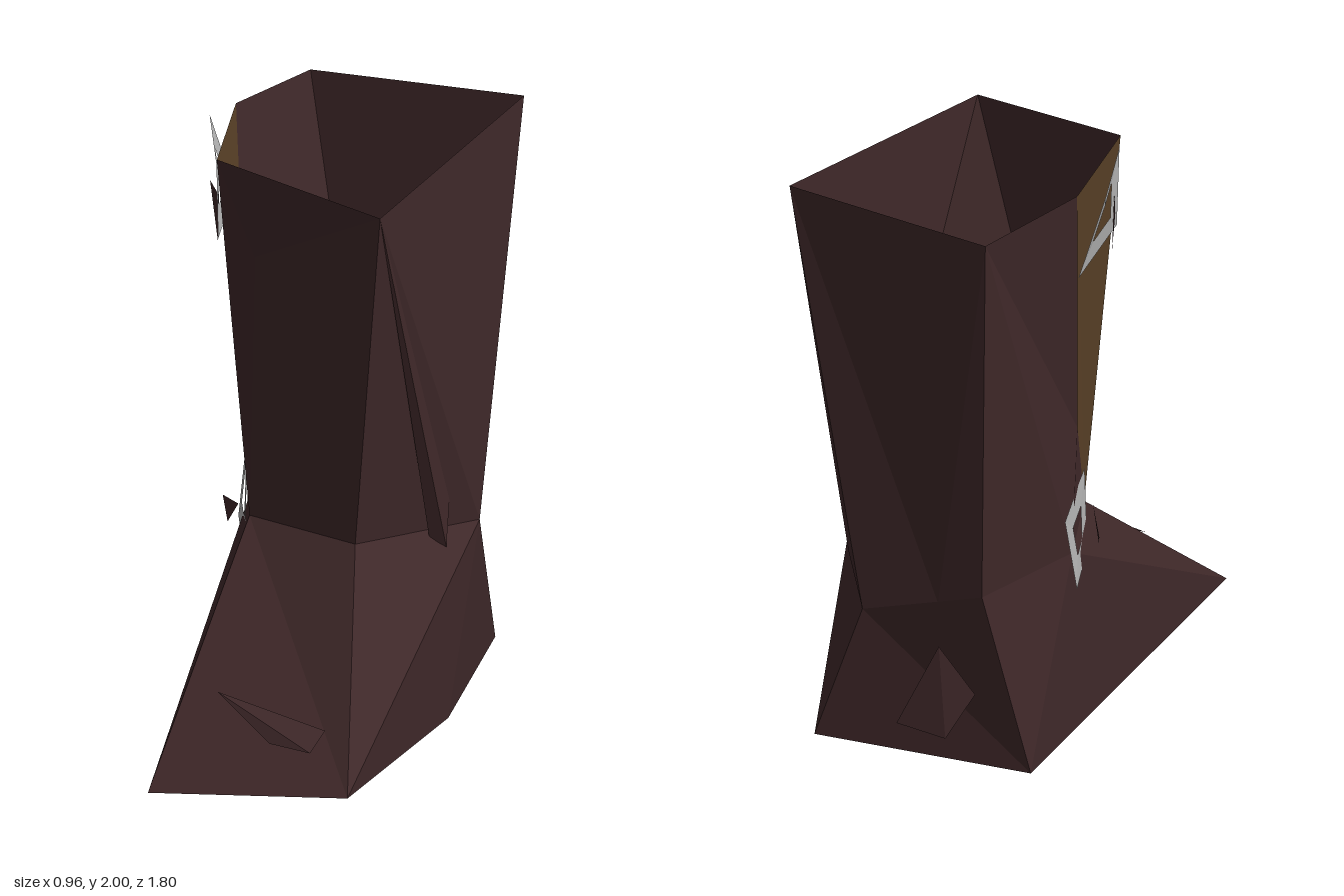
import * as THREE from 'three';

// Landmarks: rim, shaft folds, ankle ring, sole, inner lining
const P = {
  rimBR: [0.48, 2, -0.8], rimFR: [0.29, 1.94, 0.24], rimFL: [-0.33, 2, 0.03],
  rimL: [-0.41, 2, -0.47], rimBL: [-0.28, 1.97, -0.9],
  foldF: [-0.2, 1.67, 0.03], foldB: [0.28, 0.71, -0.77], foldL: [-0.33, 1.08, -0.3],
  ankFR: [0.17, 0.73, 0.12], ankR: [0.43, 0.63, -0.45], ankBR: [0.21, 0.53, -0.81],
  ankB: [-0.06, 0.6, -0.8], ankBL: [-0.22, 0.65, -0.8], ankL: [-0.335, 0.65, -0.35],
  ankFL: [-0.25, 0.71, -0.08],
  toeR: [0.37, 0.15, 0.9], toeL: [-0.33, 0.07, 0.84], soleR: [0.41, 0.04, -0.15],
  heelR: [0.37, 0.06, -0.84], heelL: [-0.35, 0, -0.7],
  inL: [-0.25, 0.7, -0.13], inR: [0.36, 0.9, -0.27], inB: [-0.06, 0.68, -0.78], inM: [0.17, 0.66, -0.5],
};

const mat = (name, color) => {
  const m = new THREE.MeshStandardMaterial({ color, side: THREE.DoubleSide, flatShading: true });
  m.name = name;
  return m;
};

// Fans each polygon of points into flat triangles
function facets(name, material, polys) {
  const out = [];
  for (const poly of polys)
    for (let i = 1; i < poly.length - 1; i++) out.push(...poly[0], ...poly[i], ...poly[i + 1]);
  const g = new THREE.BufferGeometry();
  g.setAttribute('position', new THREE.Float32BufferAttribute(out, 3));
  g.computeVertexNormals();
  const mesh = new THREE.Mesh(g, material);
  mesh.name = name;
  return mesh;
}
const named = (...rows) => rows.map(r => r.split(' ').map(k => P[k]));

// Four-cornered frame around an opening
function frame(name, material, corners, inner) {
  const mid = [0, 1, 2].map(k => corners.reduce((s, c) => s + c[k], 0) / 4);
  const hole = corners.map(c => c.map((v, k) => mid[k] + (v - mid[k]) * inner));
  return facets(name, material, corners.map((c, i) => {
    const j = (i + 1) % 4;
    return [c, corners[j], hole[j], hole[i]];
  }));
}

export function createModel() {
  const leather = mat('dark leather', 0x3f2829);
  const tan = mat('brown panel', 0x5a4127);
  const metal = mat('buckle metal', 0xb4b4b4);
  const boot = new THREE.Group();
  boot.name = 'boot';

  boot.add(facets('shaft', leather, named(
    'rimFL foldF rimFR', 'rimFL ankFL foldF', 'foldF ankFL ankFR rimFR',
    'rimFR ankFR ankR', 'rimFR ankR rimBR', 'rimBR ankR foldB', 'foldB ankR ankBR',
    'rimBR foldB ankBR', 'rimBR ankBR ankB', 'rimBR ankB rimBL', 'rimBL ankB ankBL',
    'rimBL ankBL ankL foldL', 'rimBL foldL rimL', 'foldL ankL ankFL')));
  boot.add(facets('sidePanel', tan, named('rimL foldL ankFL rimFL')));

  boot.add(facets('foot', leather, named(
    'ankFL toeL toeR ankFR', 'ankFR toeR ankR', 'ankR toeR soleR', 'ankR soleR heelR',
    'ankR heelR ankBR', 'ankBR heelR heelL', 'ankBR heelL ankBL ankB',
    'ankBL heelL ankL', 'ankL heelL toeL', 'ankL toeL ankFL')));
  boot.add(facets('sole', leather, named('toeL heelL soleR', 'toeL soleR toeR', 'heelL heelR soleR')));

  // Inside of the shaft, narrowing to the insole
  boot.add(facets('lining', leather, named(
    'rimFR rimFL inL', 'rimFR inL inR', 'rimBR rimFR inR', 'rimBL inL rimL',
    'rimBL inB inL', 'rimBR inB rimBL', 'rimBR inR inM inB')));
  boot.add(facets('panelLining', tan, named('rimL inL rimFL')));
  boot.add(facets('insole', leather, named('inL inB inM inR')));

  // Creases standing proud of the leather
  const s = [0.38, 0.61, -0.23], t = [0.37, 0.79, -0.31], u = [0.33, 0.65, -0.2];
  boot.add(facets('sideCrease', leather, [[P.rimFR, u, s], [P.rimFR, s, t], [u, t, s]]));
  const a = [-0.18, 0.33, 0.54], b = [0.05, 0.24, 0.72], c = [0.21, 0.25, 0.79], d = [0.23, 0.29, 0.68];
  boot.add(facets('toeCrease', leather, [[a, b, c], [a, c, d]]));
  const e = [-0.07, 0.45, -0.815], f = [0.06, 0.17, -0.865], g = [-0.12, 0.15, -0.87], h = [-0.2, 0.3, -0.81];
  boot.add(facets('heelTab', leather, [[e, f, g], [e, g, h], [f, h, g]]));

  // Buckles over the top and bottom of the side panel
  boot.add(frame('upperBuckle', metal,
    [[-0.34, 1.97, 0], [-0.48, 1.98, -0.4], [-0.41, 1.7, -0.46], [-0.34, 1.7, -0.02]], 0.45));
  boot.add(frame('lowerBuckle', metal,
    [[-0.27, 0.85, -0.12], [-0.38, 0.83, -0.5], [-0.39, 0.56, -0.43], [-0.28, 0.56, -0.12]], 0.4));
  boot.add(facets('upperProng', leather,
    [[[-0.35, 1.84, -0.06], [-0.42, 1.83, -0.2], [-0.37, 1.65, -0.12]]]));
  boot.add(facets('lowerProng', leather,
    [[[-0.3, 0.73, -0.12], [-0.4, 0.69, -0.28], [-0.36, 0.63, -0.2]]]));
  return boot;
}
